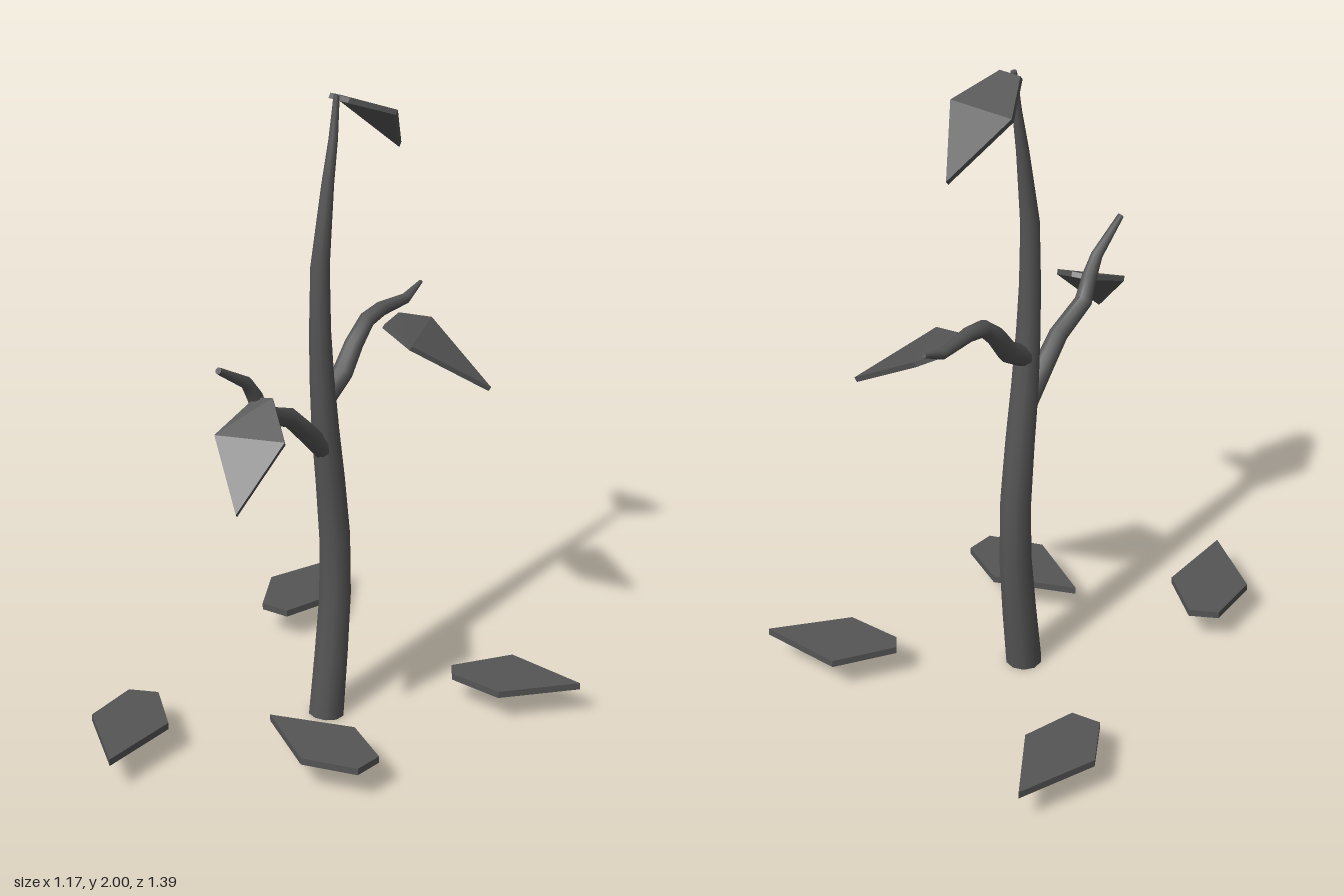
import * as THREE from 'three';
import { toCreasedNormals } from 'three/addons/utils/BufferGeometryUtils.js';

const charcoal = new THREE.MeshStandardMaterial({ color: 0x555555 });
charcoal.name = 'charcoal';

const STEM_X = -0.04;
const SIDES = 10;

// Tapered limb swept through [z, y, radius] stations in the plane x = STEM_X
function limb(name, stations) {
  const pos = [], index = [];
  const centres = stations.map(([z, y]) => new THREE.Vector3(STEM_X, y, z));
  const last = stations.length - 1;
  const u = new THREE.Vector3(1, 0, 0);
  stations.forEach(([, , r], i) => {
    const t = centres[Math.min(i + 1, last)].clone().sub(centres[Math.max(i - 1, 0)]).normalize();
    const v = t.cross(u);
    for (let j = 0; j < SIDES; j++) {
      const a = ((j + 0.5) / SIDES) * Math.PI * 2;
      const p = centres[i].clone().addScaledVector(u, r * Math.cos(a)).addScaledVector(v, r * Math.sin(a));
      pos.push(p.x, Math.max(0, p.y), p.z);
    }
  });
  const start = pos.length / 3, end = start + 1;
  pos.push(...centres[0].toArray(), ...centres[last].toArray());
  for (let j = 0; j < SIDES; j++) {
    const k = (j + 1) % SIDES;
    for (let i = 0; i < last; i++) {
      const a = i * SIDES + j, b = i * SIDES + k;
      index.push(a, b, b + SIDES, a, b + SIDES, a + SIDES);
    }
    index.push(start, k, j, end, last * SIDES + j, last * SIDES + k);
  }
  const geo = new THREE.BufferGeometry();
  geo.setAttribute('position', new THREE.Float32BufferAttribute(pos, 3));
  geo.setIndex(index);
  const mesh = new THREE.Mesh(toCreasedNormals(geo, 0.9), charcoal);
  mesh.name = name;
  return mesh;
}

// Thin leaf from its top outline [base, base, side, tip, side], creased between the sides
function leaf(name, outline, thickness = 0.02) {
  let top = outline.map((p) => new THREE.Vector3(...p));
  const n = top[3].clone().sub(top[0]).cross(top[4].clone().sub(top[2])).normalize();
  if (n.y < 0) {
    top = [top[1], top[0], top[4], top[3], top[2]];
    n.negate();
  }
  const low = top.map((p) => p.clone().addScaledVector(n, -thickness));
  const pts = [...top, ...low];
  const faces = [];
  for (const [a, b, c] of [[0, 1, 2], [0, 2, 4], [2, 3, 4]]) {
    faces.push(a, b, c, a + 5, c + 5, b + 5);
  }
  for (let i = 0; i < 5; i++) {
    const k = (i + 1) % 5;
    faces.push(i, i + 5, k + 5, i, k + 5, k);
  }
  const geo = new THREE.BufferGeometry();
  geo.setAttribute('position', new THREE.Float32BufferAttribute(faces.flatMap((i) => pts[i].toArray()), 3));
  geo.computeVertexNormals();
  const mesh = new THREE.Mesh(geo, charcoal);
  mesh.name = name;
  return mesh;
}

export function createModel() {
  const model = new THREE.Group();
  model.name = 'sapling';

  // Swaying trunk
  model.add(limb('trunk', [
    [-0.06, 0, 0.056], [-0.083, 0.2, 0.053], [-0.102, 0.4, 0.05], [-0.1, 0.6, 0.048],
    [-0.078, 0.8, 0.045], [-0.055, 0.97, 0.042], [-0.038, 1.15, 0.037], [-0.03, 1.3, 0.033],
    [-0.03, 1.5, 0.029], [-0.065, 1.74, 0.019], [-0.09, 1.87, 0.014], [-0.105, 1.995, 0.009],
  ]));

  // Two crooked branches
  model.add(limb('frontBranch', [
    [-0.04, 0.92, 0.032], [0.035, 1.0, 0.031], [0.11, 1.075, 0.029], [0.235, 1.13, 0.027],
    [0.265, 1.2, 0.023], [0.3, 1.255, 0.018], [0.42, 1.335, 0.01],
  ]));
  model.add(limb('backBranch', [
    [-0.04, 1.07, 0.034], [-0.135, 1.13, 0.032], [-0.19, 1.205, 0.029], [-0.25, 1.26, 0.025],
    [-0.32, 1.272, 0.022], [-0.44, 1.265, 0.016], [-0.515, 1.295, 0.006],
  ]));

  // Leaves still hanging
  model.add(leaf('topLeaf', [
    [-0.07, 1.992, -0.115], [0, 1.992, -0.115], [0.067, 1.935, -0.248],
    [-0.03, 1.775, -0.395], [-0.14, 1.935, -0.248],
  ], 0.016));
  model.add(leaf('frontLeaf', [
    [-0.035, 1.2, 0.27], [0.013, 1.205, 0.25], [0.13, 1.135, 0.34],
    [0.093, 0.965, 0.51], [-0.055, 1.135, 0.425],
  ], 0.016));
  model.add(leaf('backLeaf', [
    [-0.02, 1.245, -0.38], [0, 1.245, -0.285], [0.12, 1.215, -0.26],
    [0.287, 1.07, -0.43], [0.043, 1.22, -0.46],
  ], 0.016));

  // Flat leaves around the foot of the trunk, as [x, z] outlines
  const fallen = [
    [[-0.405, -0.314], [-0.497, -0.303], [-0.586, -0.455], [-0.497, -0.7], [-0.357, -0.48]],
    [[0.21, -0.37], [0.242, -0.33], [0.416, -0.33], [0.582, -0.528], [0.32, -0.54]],
    [[0.353, 0.185], [0.346, 0.277], [0.18, 0.336], [-0.045, 0.205], [0.198, 0.103]],
    [[-0.394, 0.318], [-0.475, 0.362], [-0.464, 0.54], [-0.253, 0.692], [-0.253, 0.432]],
  ];
  fallen.forEach((outline, i) => {
    model.add(leaf(`lowLeaf${i + 1}`, outline.map(([x, z]) => [x, 0.118, z]), 0.022));
  });

  return model;
}
